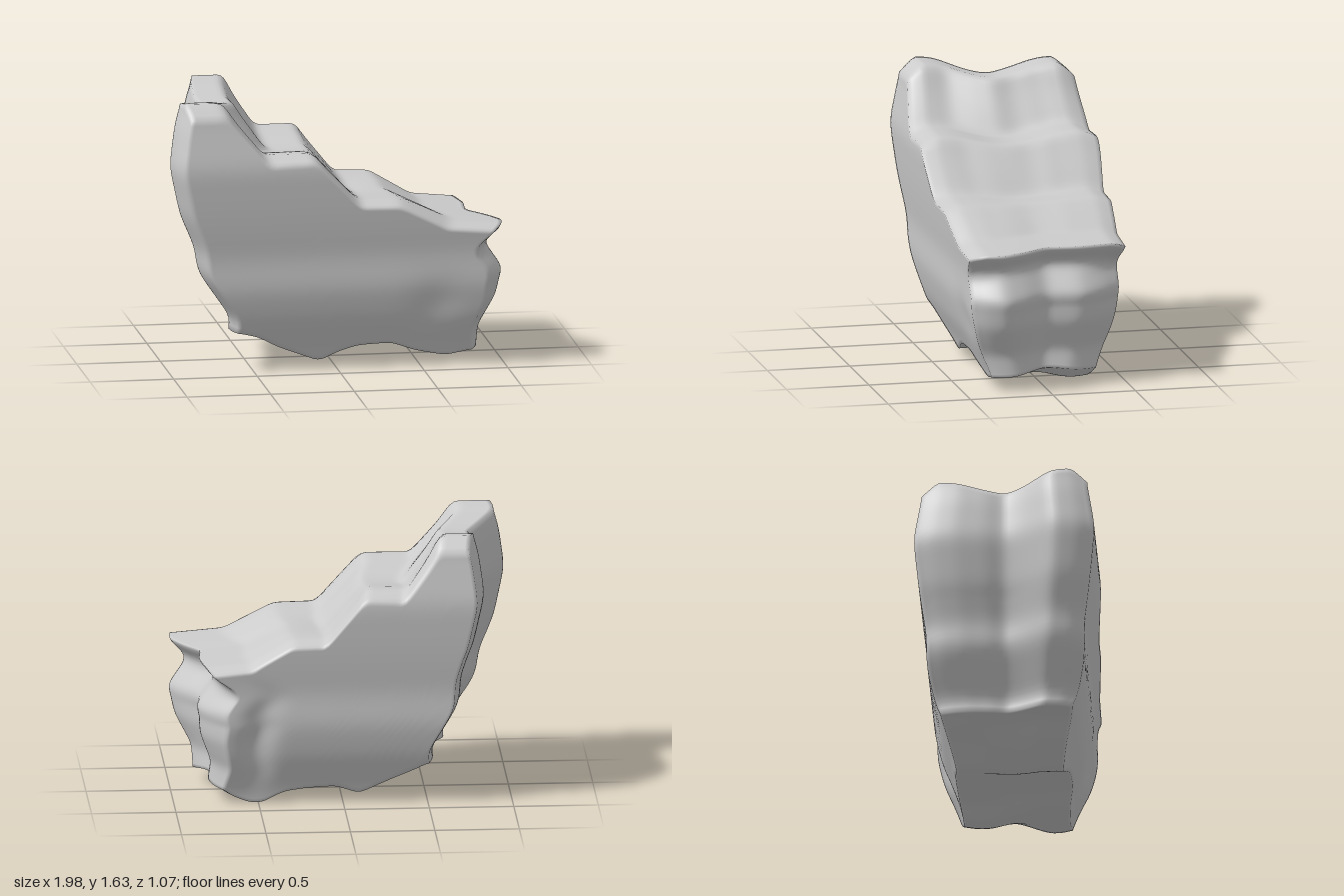
import * as THREE from 'three';
import { mergeVertices } from 'three/addons/utils/BufferGeometryUtils.js';

// Piecewise profile through [t, value] points
const linear = (pts, t) => {
  if (t <= pts[0][0]) return pts[0][1];
  for (let i = 1; i < pts.length; i++) {
    const [a, va] = pts[i - 1], [b, vb] = pts[i];
    if (t <= b) return va + (vb - va) * (t - a) / (b - a);
  }
  return pts[pts.length - 1][1];
};
// Same profile with softened corners
const soft = (pts, t, h) => {
  let sum = 0;
  for (let k = -2; k <= 2; k++) sum += (3 - Math.abs(k)) * linear(pts, t + k * h / 2);
  return sum / 9;
};

// Stepped top and wavy underside, along the length (0 = tall end, 1 = low end)
const TOP = [[0, 1.635], [0.115, 1.635], [0.27, 1.32], [0.42, 1.32], [0.547, 1.03], [0.68, 1.025], [0.83, 0.88], [1, 0.855]];
const BOTTOM_FRONT = [[0, 0.24], [0.09, 0.21], [0.18, 0.14], [0.356, 0.04], [0.44, 0.1], [0.52, 0.135], [0.66, 0.145], [0.76, 0.09], [0.89, 0.05], [1, 0.08]];
const BOTTOM_BACK = [[0, 0.25], [0.18, 0.15], [0.34, 0.05], [0.46, 0.1], [0.6, 0.09], [0.7, 0.07], [0.8, 0], [0.86, 0], [0.94, 0.04], [1, 0.09]];
// How far the top sags in the middle, and drops at the rims, along the length
const SAG = [[0, 0.08], [0.2, 0.065], [0.4, 0.055], [0.62, 0.02], [0.85, 0], [1, 0]];
const RIM = [[0, 0.08], [0.115, 0.08], [0.3, 0.045], [0.55, 0.03], [1, 0.03]];
// End faces against height
const TALL_END = [[0.24, -0.64], [0.3, -0.62], [0.4, -0.69], [0.6, -0.83], [0.75, -0.85], [0.95, -0.94], [1.25, -1.005], [1.5, -0.97], [1.63, -0.93]];
const LOW_END = [[0.08, 0.86], [0.22, 0.87], [0.4, 0.97], [0.57, 1.01], [0.73, 0.9], [0.79, 0.93], [0.83, 0.995]];
// Inward shift of the end faces across the width (-1 = back, 1 = front)
const TALL_SHIFT = [[-1, 0.22], [-0.8, 0.18], [-0.55, 0.16], [-0.2, 0.17], [0, 0.2], [0.2, 0.14], [0.55, 0], [0.85, 0.02], [1, 0.07]];
const LOW_SHIFT = [[-1, 0.2], [-0.8, 0.18], [-0.4, 0.15], [0, 0.17], [0.3, 0.07], [0.6, 0], [0.85, 0.02], [1, 0.06]];
// Half width against height
const WIDTH = [[0, 0.3], [0.1, 0.33], [0.3, 0.42], [0.5, 0.47], [0.7, 0.47], [0.85, 0.495], [1, 0.515], [1.25, 0.54], [1.56, 0.49]];

const bump = (t, centre, size) => Math.exp(-(((t - centre) / size) ** 2));

export function createModel() {
  const group = new THREE.Group();

  // One dense block, its grid bent by the profiles
  let geometry = new THREE.BoxGeometry(2, 2, 2, 72, 40, 40);
  geometry.deleteAttribute('normal');
  geometry.deleteAttribute('uv');
  geometry = mergeVertices(geometry);
  const pos = geometry.attributes.position;

  for (let i = 0; i < pos.count; i++) {
    const u = (pos.getX(i) + 1) / 2, v = (pos.getY(i) + 1) / 2, s = pos.getZ(i);
    const edge = Math.abs(s);

    // Height: sagging top with rounded rims, underside blended front to back
    const sag = linear(SAG, u) * (0.5 + 0.5 * Math.cos(Math.PI * Math.min(edge / 0.82, 1)));
    const rim = soft(RIM, u, 0.05) * Math.max(0, (edge - 0.8) / 0.2) ** 1.3;
    const top = soft(TOP, u, 0.02) - sag - rim;
    const front = THREE.MathUtils.smoothstep(s, -0.8, 0.6);
    const arch = 0.035 * bump(s, 0, 0.55) * bump(u, 1, 0.15);
    const bottom = arch + THREE.MathUtils.lerp(soft(BOTTOM_BACK, u, 0.03), soft(BOTTOM_FRONT, u, 0.03), front);
    const y = THREE.MathUtils.lerp(bottom, top, v);

    // Length: wavy end faces, the low end rounded at its corners below the lip
    const tallFade = linear([[0.2, 0.55], [0.9, 1]], y);
    const lowFade = linear([[0.05, 0.45], [0.5, 1]], y);
    const corner = Math.max(0, (edge - 0.45) / 0.55) ** 1.6 * (1 - THREE.MathUtils.smoothstep(y, 0.66, 0.8)) * lowFade;
    const x0 = soft(TALL_END, y, 0.07) + soft(TALL_SHIFT, s, 0.1) * tallFade;
    const x1 = soft(LOW_END, y, 0.04) - soft(LOW_SHIFT, s, 0.1) * lowFade - corner * (s < 0 ? 0.11 : 0.06);

    // Width, with a hollow in the back near the low end and a faint one in front
    let half = soft(WIDTH, y, 0.08);
    if (s < 0) half -= 0.045 * bump(u, 0.85, 0.07) * bump(y, 0.42, 0.22);
    else half -= 0.015 * bump(u, 0.82, 0.1) * bump(y, 0.4, 0.15);

    pos.setXYZ(i, THREE.MathUtils.lerp(x0, x1, u), y, s * half);
  }

  // Stand on the ground, centred
  geometry.computeBoundingBox();
  const box = geometry.boundingBox, c = box.getCenter(new THREE.Vector3());
  geometry.translate(-c.x, -box.min.y, -c.z);
  geometry.computeVertexNormals();

  const mesh = new THREE.Mesh(geometry, new THREE.MeshStandardMaterial({ color: 0xcccccc }));
  mesh.name = 'steppedRock';
  group.add(mesh);
  return group;
}
